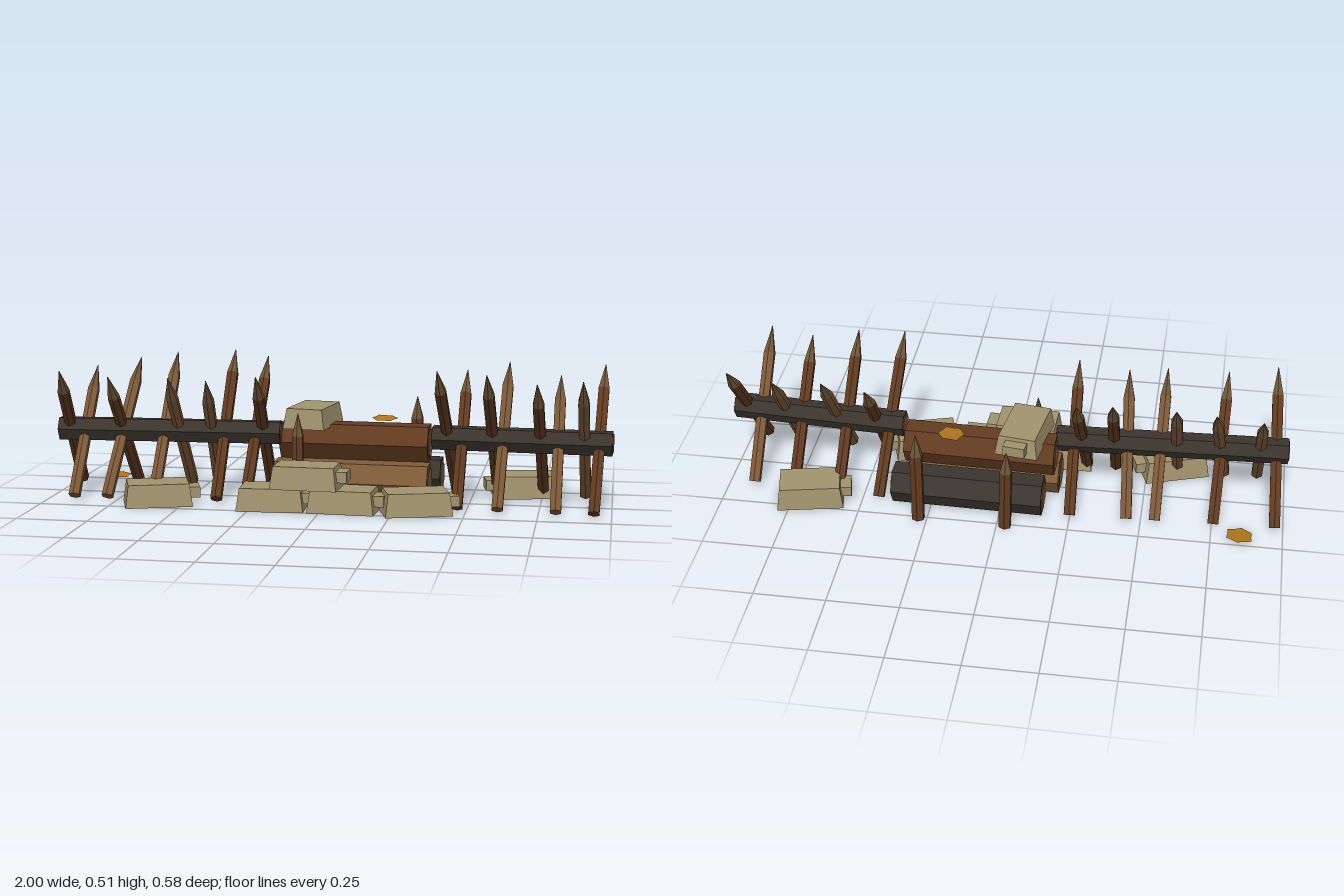
import * as THREE from 'three';

const mat = (name, color, extra = {}) => {
  const m = new THREE.MeshStandardMaterial({ color, ...extra });
  m.name = name;
  return m;
};

export function createModel() {
  const model = new THREE.Group();
  model.name = 'barricade';

  const flat = { flatShading: true };
  const charred = mat('charredWood', 0x3b352e, flat);
  const brown = mat('brownWood', 0x633c21, flat);
  const light = mat('lightWood', 0x7f5b38, flat);
  const cut = mat('cutWood', 0x87623e, flat);
  const tipWood = mat('sharpenedWood', 0x705538, flat);
  const canvas = mat('canvas', 0xa2946e, { flatShading: true, side: THREE.DoubleSide });
  const leafMat = mat('dryLeaf', 0xb0761f, { side: THREE.DoubleSide });

  const v = (x, y, z) => new THREE.Vector3(x, y, z);
  const up = v(0, 1, 0);

  // Six-sided rod from a to b
  function rod(name, a, b, rBottom, rTop, material, parent = model) {
    const dir = b.clone().sub(a);
    const geo = new THREE.CylinderGeometry(rTop, rBottom, dir.length(), 6);
    const mesh = new THREE.Mesh(geo, material);
    mesh.name = name;
    mesh.position.copy(a).add(b).multiplyScalar(0.5);
    mesh.quaternion.setFromUnitVectors(up, dir.normalize());
    parent.add(mesh);
    return mesh;
  }

  // Log with a thin plate of cut wood on each end, turned by half a side
  function log(name, a, b, r, wood, plateRadius, turn) {
    const g = new THREE.Group();
    g.name = name;
    rod(name + 'Bark', a, b, r, r, wood, g);
    const step = b.clone().sub(a).setLength(0.003);
    for (const [from, to] of [[a.clone().sub(step), a], [b, b.clone().add(step)]]) {
      rod(name + 'End', from, to, plateRadius, plateRadius, cut, g).rotateY(turn);
    }
    model.add(g);
  }

  // Shaft with a sharpened point
  function stake(name, a, b, r, wood, tipLength = 0.1) {
    const g = new THREE.Group();
    g.name = name;
    const neck = b.clone().sub(a).setLength(a.distanceTo(b) - tipLength).add(a);
    rod(name + 'Shaft', a, neck, r, r, wood, g);
    rod(name + 'Tip', neck, b, r, 0.001, tipWood, g);
    model.add(g);
  }

  // Spiked beams: each stake is [top x, bottom x, top y, lean, wood]
  function spikedBeam(name, a, b, stakes) {
    log(name, a, b, 0.046, charred, 0.036, 0);
    for (const [xt, xb, yt, lean, wood] of stakes) {
      const t = ((xt + xb) / 2 - a.x) / (b.x - a.x);
      const z = a.z + (b.z - a.z) * t + 0.003;
      const slope = lean < 0 ? -0.735 : 0.76;
      const at = (x, y) => v(x, y, z + (y - 0.238) * slope);
      stake(name + 'Stake', at(xb, 0.02), at(xt, yt), 0.022, wood);
    }
  }
  spikedBeam('rightBeam', v(-0.997, 0.237, 0.01), v(-0.183, 0.237, -0.025), [
    [-0.94, -0.97, 0.47, 1, brown], [-0.9, -0.9, 0.45, -1, light],
    [-0.74, -0.78, 0.48, -1, light], [-0.77, -0.755, 0.45, 1, brown],
    [-0.605, -0.61, 0.5, -1, light], [-0.555, -0.55, 0.45, 1, light],
    [-0.39, -0.385, 0.51, -1, brown], [-0.42, -0.45, 0.44, 1, light],
    [-0.265, -0.28, 0.49, -1, brown], [-0.24, -0.25, 0.46, 1, brown],
  ]);
  spikedBeam('leftBeam', v(0.368, 0.237, -0.015), v(0.997, 0.237, 0.018), [
    [0.4, 0.44, 0.5, 1, brown], [0.475, 0.47, 0.46, -1, brown],
    [0.625, 0.61, 0.49, -1, light], [0.57, 0.59, 0.49, 1, brown],
    [0.81, 0.81, 0.45, -1, light], [0.74, 0.755, 0.46, 1, brown],
    [0.965, 0.94, 0.49, -1, brown], [0.895, 0.905, 0.475, 1, light],
  ]);

  // Stacked logs
  const half = Math.PI / 6;
  log('frontLog', v(-0.197, 0.077, -0.012), v(0.357, 0.077, 0.004), 0.074, light, 0.056, half);
  log('topLog', v(-0.187, 0.205, -0.083), v(0.35, 0.205, -0.07), 0.074, brown, 0.056, half);
  log('backLog', v(-0.152, 0.075, -0.156), v(0.387, 0.075, -0.147), 0.072, charred, 0.055, half);

  // Posts that hold the logs in place
  stake('backPost', v(-0.03, 0.004, -0.258), v(-0.035, 0.32, -0.262), 0.024, brown, 0.08);
  stake('backPost', v(0.28, 0.004, -0.258), v(0.285, 0.348, -0.243), 0.024, brown, 0.08);
  stake('frontPost', v(-0.1, 0.004, 0.1), v(-0.1, 0.325, 0.09), 0.022, brown, 0.08);

  // Sandbags: tapered box, open below, with a tied neck at one end
  function taperedBox(l, h, w, inset) {
    const geo = new THREE.BoxGeometry(l, h, w);
    const p = geo.attributes.position;
    for (let i = 0; i < p.count; i++) {
      if (p.getY(i) < 0) continue;
      p.setX(i, p.getX(i) - Math.sign(p.getX(i)) * inset);
      p.setZ(i, p.getZ(i) - Math.sign(p.getZ(i)) * inset);
    }
    // Leave out the bottom face, the fourth of the six
    const index = Array.from(geo.index.array);
    index.splice(18, 6);
    geo.setIndex(index);
    geo.clearGroups();
    geo.computeVertexNormals();
    return geo;
  }
  function sandbag(x, y, z, degrees, h = 0.08) {
    const bag = new THREE.Group();
    bag.name = 'sandbag';
    const body = new THREE.Mesh(taperedBox(0.236, h, 0.153, 0.011), canvas);
    body.name = 'sandbagBody';
    body.position.y = h / 2;
    const neck = new THREE.Mesh(new THREE.BoxGeometry(0.056, 0.038, 0.077), canvas);
    neck.name = 'sandbagNeck';
    neck.position.set(0.12, h * 0.55, 0);
    bag.add(body, neck);
    bag.position.set(x, y, z);
    bag.rotation.y = THREE.MathUtils.degToRad(degrees);
    model.add(bag);
  }
  sandbag(-0.59, 0.003, 0.177, 19);
  sandbag(-0.175, 0.003, 0.183, 3);
  sandbag(0.08, 0.003, 0.183, -3);
  sandbag(0.33, 0.003, 0.18, 17);
  sandbag(-0.05, 0.084, 0.19, -2);
  sandbag(0.687, 0.003, -0.19, 192);
  sandbag(-0.075, 0.259, -0.08, 82, 0.072);

  // Dry leaves
  function leaf(x, y, z, tilt, turn) {
    const shape = new THREE.Shape();
    for (let i = 0; i < 12; i++) {
      const a = (i / 12) * Math.PI * 2;
      const r = i % 2 ? 0.041 : 0.049 + 0.005 * Math.sin(i * 2);
      shape[i ? 'lineTo' : 'moveTo'](Math.cos(a) * r, Math.sin(a) * r);
    }
    const geo = new THREE.ShapeGeometry(shape);
    geo.rotateX(-Math.PI / 2);
    const mesh = new THREE.Mesh(geo, leafMat);
    mesh.name = 'leaf';
    mesh.position.set(x, y, z);
    mesh.rotation.set(tilt, turn, 0);
    model.add(mesh);
  }
  leaf(-0.85, 0.024, -0.22, 0.06, 0.4);
  leaf(0.18, 0.284, -0.122, 0.08, 0);

  return model;
}
